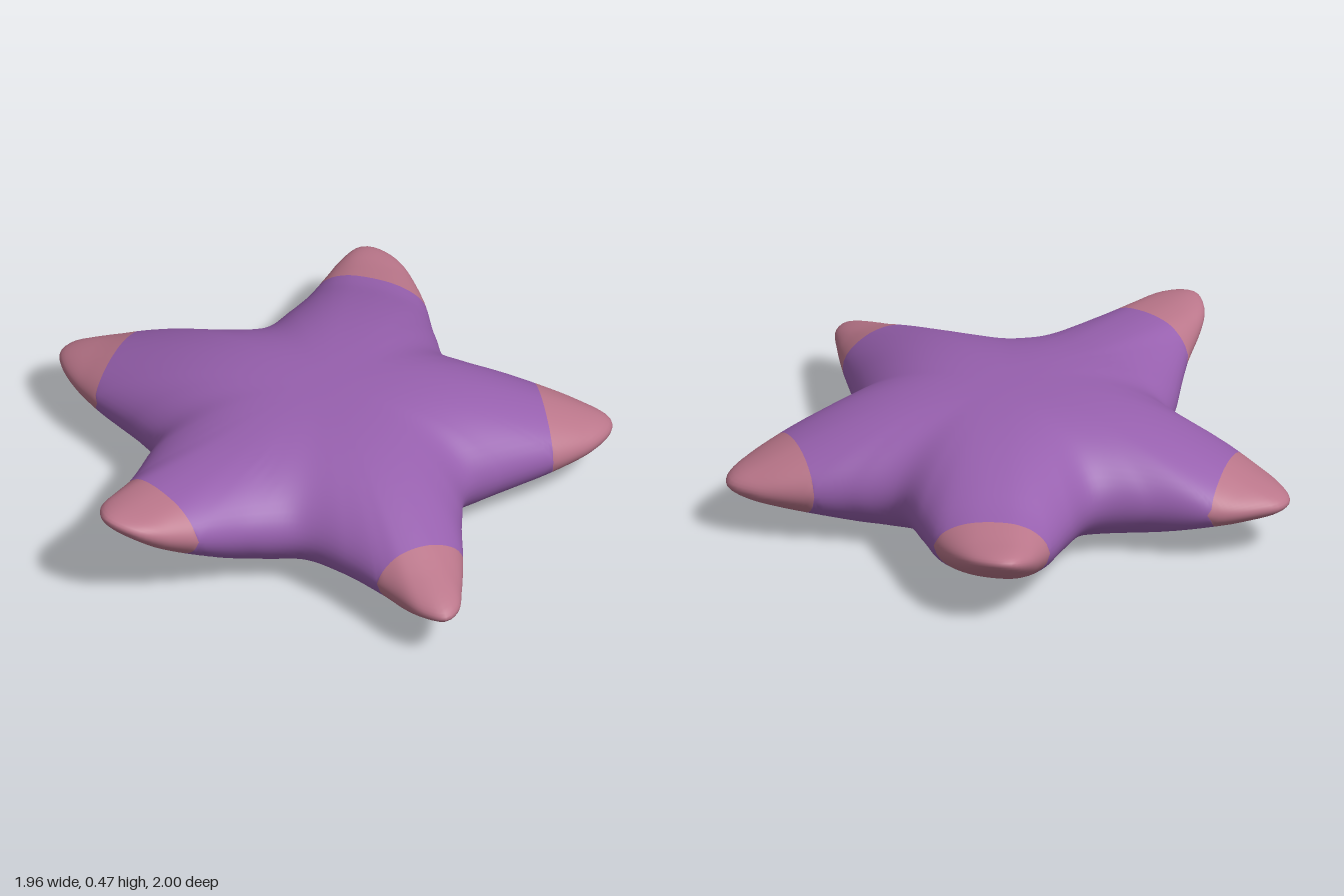
import * as THREE from 'three';
import { mergeVertices } from 'three/addons/utils/BufferGeometryUtils.js';

// Plan outline as x, z pairs, anticlockwise from above starting at the front tip
const OUTLINE = [
  -0.03, 1, 0.03, 0.97, 0.09, 0.87, 0.17, 0.71, 0.25, 0.53, 0.34, 0.39, 0.47, 0.365,
  0.75, 0.34, 0.89, 0.3, 0.96, 0.25, 0.98, 0.2, 0.94, 0.11, 0.8, -0.04, 0.68, -0.14, 0.58, -0.26,
  0.61, -0.45, 0.66, -0.66, 0.66, -0.85, 0.61, -0.95, 0.56, -0.98, 0.48, -0.96, 0.38, -0.9,
  0.19, -0.77, 0.03, -0.69, -0.13, -0.77, -0.32, -0.93, -0.48, -0.99, -0.545, -1, -0.6, -0.97,
  -0.63, -0.87, -0.62, -0.69, -0.56, -0.46, -0.55, -0.3, -0.65, -0.18, -0.79, -0.03,
  -0.95, 0.11, -0.98, 0.2, -0.96, 0.25, -0.89, 0.31, -0.71, 0.34, -0.48, 0.355, -0.32, 0.41,
  -0.22, 0.57, -0.15, 0.76, -0.095, 0.93,
];

// Arm axis (nx, nz), distance where the coloured tip begins, and upward curl
const ARMS = [
  { name: 'frontArmTip', nx: 0, nz: 1, cut: 0.72 },
  { name: 'leftArmTip', nx: 0.97, nz: 0.243, cut: 0.753 },
  { name: 'backLeftArmTip', nx: 0.646, nz: -0.763, cut: 0.89, curl: 0.4, from: 0.8 },
  { name: 'backRightArmTip', nx: -0.65, nz: -0.76, cut: 0.895 },
  { name: 'rightArmTip', nx: -0.963, nz: 0.268, cut: 0.752, curl: 0.4, from: 0.4 },
];

const CX = 0.02, CZ = -0.1; // middle of the body
const COLS = 320, BODY = 16, TIP = 10, LAST = 2 * (BODY + TIP);
const ease = (t) => Math.sin((t * Math.PI) / 2);

// Surface point a fraction s of the way from the middle to the outline
function surfacePoint(o, s, side) {
  const dx = s * (o.x - CX), dz = s * (o.z - CZ);
  const x = CX + dx, z = CZ + dz, r = Math.hypot(dx, dz);
  const half = (0.235 / (1 + (r / 0.9) ** 3.2)) * Math.sqrt(Math.max(0, 1 - s ** 4));
  let y = 0.235 - 0.035 * Math.min(1, 1.2 * r * r);
  for (const a of ARMS) {
    if (a.curl) y += a.curl * Math.max(0, a.nx * x + a.nz * z - a.from) ** 1.4;
  }
  return [x, y + side * half, z];
}

export function createModel() {
  const purple = new THREE.MeshStandardMaterial({ color: 0x9760ae });
  purple.name = 'purple';
  const pink = new THREE.MeshStandardMaterial({ color: 0xba768a });
  pink.name = 'dusty pink';

  const pts = [];
  for (let i = 0; i < OUTLINE.length; i += 2) pts.push(new THREE.Vector3(OUTLINE[i], 0, OUTLINE[i + 1]));
  const rim = new THREE.CatmullRomCurve3(pts, true).getSpacedPoints(COLS).slice(0, COLS);

  // Each column runs from the top middle, round the rim, to the bottom middle
  const positions = [], armOf = [];
  for (const o of rim) {
    const arm = ARMS.findIndex((a) => a.nx * o.x + a.nz * o.z > a.cut);
    armOf.push(arm);
    let cut = 1;
    if (arm >= 0) {
      const { nx, nz, cut: d } = ARMS[arm];
      cut = (d - nx * CX - nz * CZ) / (nx * (o.x - CX) + nz * (o.z - CZ));
    }
    for (let k = 0; k <= LAST; k++) {
      const j = Math.min(k, LAST - k);
      const s = j <= BODY ? cut * ease(j / BODY) : cut + (1 - cut) * ease((j - BODY) / TIP);
      positions.push(...surfacePoint(o, s, k <= LAST / 2 ? 1 : -1));
    }
  }

  // Sort the faces into the body (0) and the five tips (1 to 5)
  const faces = [[], [], [], [], [], []];
  for (let i = 0; i < COLS; i++) {
    const n = (i + 1) % COLS;
    for (let k = 0; k < LAST; k++) {
      const onTip = k >= BODY && k < LAST - BODY;
      const arm = Math.max(armOf[i], armOf[n]);
      if (onTip && arm < 0) continue;
      const a = i * (LAST + 1) + k, b = n * (LAST + 1) + k;
      const list = faces[onTip ? arm + 1 : 0];
      if (k > 0) list.push(a, a + 1, b, b, a + 1, b + 1);
      else list.push(a, a + 1, b + 1);
    }
  }

  // Weld everything so the shading runs smoothly across the colour borders
  let skin = new THREE.BufferGeometry();
  skin.setAttribute('position', new THREE.Float32BufferAttribute(positions, 3));
  skin.setIndex(faces.flat());
  skin = mergeVertices(skin, 1e-4);
  skin.computeVertexNormals();

  const group = new THREE.Group();
  group.name = 'starfish';
  const index = Array.from(skin.index.array);
  let start = 0;
  faces.forEach((list, f) => {
    const geometry = new THREE.BufferGeometry();
    geometry.setAttribute('position', skin.attributes.position);
    geometry.setAttribute('normal', skin.attributes.normal);
    geometry.setIndex(index.slice(start, start + list.length));
    start += list.length;
    const mesh = new THREE.Mesh(geometry, f ? pink : purple);
    mesh.name = f ? ARMS[f - 1].name : 'body';
    group.add(mesh);
  });
  return group;
}
